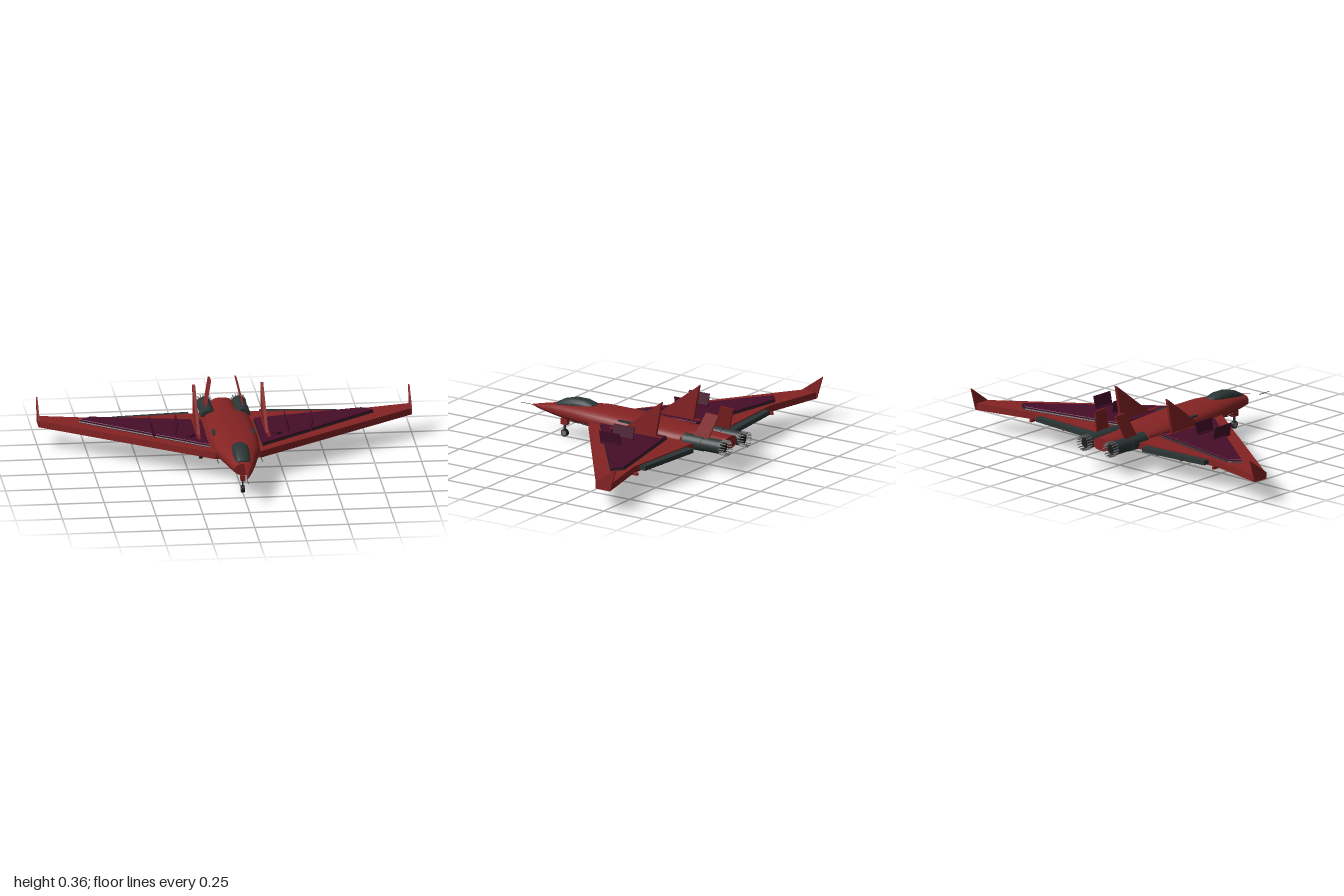
import * as THREE from 'three';
import { toCreasedNormals } from 'three/addons/utils/BufferGeometryUtils.js';

const paint = (name, color) => Object.assign(new THREE.MeshStandardMaterial({ color }), { name });

// Skin lofted through stations [z, halfWidth, bottom, top], listed from front to back
function loft(stations, from = 0, to = Math.PI * 2, n = 28, power = 0.85) {
  const pos = [], idx = [];
  for (const [z, w, bottom, top] of stations) {
    for (let j = 0; j <= n; j++) {
      const a = from + (to - from) * j / n;
      const c = Math.cos(a), s = Math.sin(a);
      const x = Math.sign(c) * Math.abs(c) ** power * w;
      const y = (top + bottom) / 2 + Math.sign(s) * Math.abs(s) ** power * (top - bottom) / 2;
      pos.push(x, y, z);
    }
  }
  for (let i = 0; i < stations.length - 1; i++) {
    for (let j = 0; j < n; j++) {
      const a = i * (n + 1) + j, b = a + n + 1;
      idx.push(a, b, a + 1, a + 1, b, b + 1);
    }
  }
  const g = new THREE.BufferGeometry();
  g.setAttribute('position', new THREE.Float32BufferAttribute(pos, 3));
  g.setIndex(idx);
  return toCreasedNormals(g, 0.6);
}

// Horizontal plate from [x, z] corners
function plate(points, y0, y1, s, bevel = 0) {
  const shape = new THREE.Shape(points.map(([x, z]) => new THREE.Vector2(x * s, -z)));
  const g = new THREE.ExtrudeGeometry(shape, {
    depth: y1 - y0 - bevel, bevelEnabled: bevel > 0, bevelSize: bevel, bevelThickness: bevel, bevelSegments: 1,
  });
  return g.rotateX(-Math.PI / 2).translate(0, y0, 0);
}

// Upright fin from [z, y] corners; its x runs from x0 at height y0 to x1 at height y1
function fin(points, t, s, x0, y0, x1 = x0, y1 = y0 + 1) {
  const shape = new THREE.Shape(points.map(([z, y]) => new THREE.Vector2(z, y)));
  const g = new THREE.ExtrudeGeometry(shape, { depth: t, bevelEnabled: false });
  g.rotateY(-Math.PI / 2).translate(t / 2, 0, 0);
  const p = g.attributes.position;
  for (let i = 0; i < p.count; i++) {
    p.setX(i, p.getX(i) + s * (x0 + (x1 - x0) * (p.getY(i) - y0) / (y1 - y0)));
  }
  g.computeVertexNormals();
  return g;
}

const box = (w, h, d, x, y, z) => new THREE.BoxGeometry(w, h, d).translate(x, y, z);
const rodZ = (r, z0, z1, x, y, n = 8) =>
  new THREE.CylinderGeometry(r, r, z1 - z0, n).rotateX(Math.PI / 2).translate(x, y, (z0 + z1) / 2);
const discX = (r, w, x, y, z) => new THREE.CylinderGeometry(r, r, w, 20).rotateZ(Math.PI / 2).translate(x, y, z);

export function createModel() {
  const model = new THREE.Group();
  const red = paint('red hull', 0x852323);
  const purple = paint('dark purple panel', 0x460d29);
  const slate = paint('dark slate', 0x2b3535);
  const black = paint('black trim', 0x1c1c1e);
  const grey = paint('grey metal', 0x747474);

  const add = (name, geometry, material, parent = model) => {
    const mesh = new THREE.Mesh(geometry, material);
    mesh.name = name;
    parent.add(mesh);
    return mesh;
  };

  // Fuselage, closed at both ends
  add('fuselage', loft([
    [0.47, 0.0005, 0.149, 0.15], [0.47, 0.05, 0.12, 0.182], [0.4, 0.068, 0.112, 0.195],
    [0.3, 0.09, 0.105, 0.205], [0.18, 0.118, 0.1, 0.213], [0, 0.128, 0.095, 0.211],
    [-0.2, 0.128, 0.093, 0.202], [-0.4, 0.122, 0.1, 0.192], [-0.45, 0.068, 0.103, 0.189],
    [-0.645, 0.06, 0.115, 0.183], [-0.645, 0.0005, 0.149, 0.15],
  ]), red);

  // Half-shell nose and its probe
  add('nose', loft([[0.625, 0.0005, 0.1445, 0.1455], [0.55, 0.026, 0.13, 0.164], [0.47, 0.05, 0.12, 0.182]],
    -Math.PI / 2, Math.PI / 2, 14), red);
  add('noseProbe', rodZ(0.0015, 0.61, 0.69, 0, 0.145), black);

  // Canopy and belly
  add('canopy', loft([
    [0.45, 0.0005, 0.17, 0.178], [0.445, 0.034, 0.16, 0.195], [0.41, 0.041, 0.16, 0.214], [0.34, 0.045, 0.16, 0.233],
    [0.27, 0.044, 0.17, 0.233], [0.22, 0.034, 0.18, 0.221], [0.2, 0.0005, 0.2, 0.212],
  ], 0, Math.PI * 2, 16), slate);
  add('bellyPanel', box(0.11, 0.012, 0.32, 0, 0.092, -0.05), purple);
  for (const z of [0.22, -0.3]) {
    add('bellyAntenna', fin([[z + 0.012, 0.105], [z - 0.012, 0.105], [z - 0.01, 0.078], [z, 0.078]], 0.006, 1, 0, 0), black);
  }

  // Wheel with tyre, hub, leg and door box
  const gear = (name, x, z, r, boxDepth) => {
    const g = new THREE.Group();
    g.name = name;
    model.add(g);
    add('tyre', discX(r, 0.018, x, r + 0.003, z), black, g);
    add('hub', discX(r * 0.72, 0.022, x, r + 0.003, z), grey, g);
    add('leg', box(0.009, 0.08, 0.009, x, 0.075, z), slate, g);
    add('gearBox', box(0.024, 0.032, boxDepth, x, 0.086, z), red, g);
  };
  gear('noseGear', 0, 0.41, 0.02, 0.04);

  for (const s of [1, -1]) {
    const side = s > 0 ? 'left' : 'right';
    const put = (name, geometry, material) => add(side + name, geometry, material);

    // Swept wing with raised panel and black outline
    put('Wing', plate([[0.08, 0.18], [0.12, 0.18], [0.995, -0.45], [0.995, -0.535], [0.65, -0.46], [0.14, -0.49], [0.08, -0.49]],
      0.116, 0.152, s), red);
    const panel = [[0.145, 0.085], [0.145, -0.33], [0.725, -0.443], [0.78, -0.402]];
    put('PanelTrim', plate(panel, 0.15, 0.161, s, 0.007), black);
    put('WingPanel', plate(panel, 0.156, 0.169, s, 0.002), purple);
    put('Flap', plate([[0.19, -0.48], [0.6, -0.455], [0.6, -0.498], [0.19, -0.535]], 0.122, 0.146, s), slate);
    for (const [x, z] of [[0.65, -0.46], [0.42, -0.46], [0.26, -0.47]]) {
      put('FlapHinge', box(0.012, 0.016, 0.05, s * x, 0.114, z), red);
    }
    put('Winglet', fin([[-0.445, 0.118], [-0.445, 0.152], [-0.575, 0.245], [-0.537, 0.118]], 0.008, s, 0.994, 0), red);

    // Tall dorsal fin and inward-leaning tail fin
    put('DorsalFin', fin([[-0.05, 0.155], [-0.33, 0.367], [-0.29, 0.155]], 0.016, s, 0.182, 0), red);
    put('FinFoot', box(0.016, 0.012, 0.33, s * 0.187, 0.166, -0.165), red);
    put('TailFin', fin([[-0.445, 0.11], [-0.537, 0.315], [-0.618, 0.312], [-0.555, 0.137]], 0.009, s, 0.115, 0.12, 0.07, 0.315), red);

    // Spoilers leaning apart above the wing
    for (const [x0, x1] of [[0.305, 0.29], [0.417, 0.433]]) {
      put('Spoiler', fin([[-0.095, 0.16], [-0.225, 0.16], [-0.225, 0.235], [-0.095, 0.235]], 0.006, s, x0, 0.16, x1, 0.235), purple);
      put('SpoilerFoot', box(0.018, 0.01, 0.13, s * x0, 0.17, -0.16), purple);
    }
    put('PanelBlock', new THREE.BoxGeometry(0.035, 0.016, 0.035).rotateY(s * 0.7).translate(s * 0.232, 0.174, -0.055), purple);

    // Fuselage vent, forward gun and underwing pod
    put('Vent', box(0.026, 0.03, 0.09, s * 0.1, 0.178, -0.047), slate);
    put('Gun', rodZ(0.002, 0.15, 0.3, s * 0.118, 0.135), black);
    put('UnderwingPod', box(0.085, 0.024, 0.09, s * 0.357, 0.107, -0.15), slate);

    // Engine with dark exhaust and a ring of nozzle petals
    const ex = s * 0.093, ey = 0.148;
    put('Engine', rodZ(0.038, -0.66, -0.42, ex, ey, 24), slate);
    put('EngineFairing', rodZ(0.041, -0.54, -0.42, ex, ey, 24), slate);
    put('Exhaust', rodZ(0.03, -0.664, -0.655, ex, ey, 20), black);
    for (let i = 0; i < 16; i++) {
      const a = i / 16 * Math.PI * 2;
      put('NozzlePetal', new THREE.BoxGeometry(0.004, 0.008, 0.04).translate(0, 0.038, -0.672).rotateZ(a).translate(ex, ey, 0), grey);
    }

    gear(side + 'MainGear', s * 0.16, -0.18, 0.027, 0.06);
  }
  return model;
}
